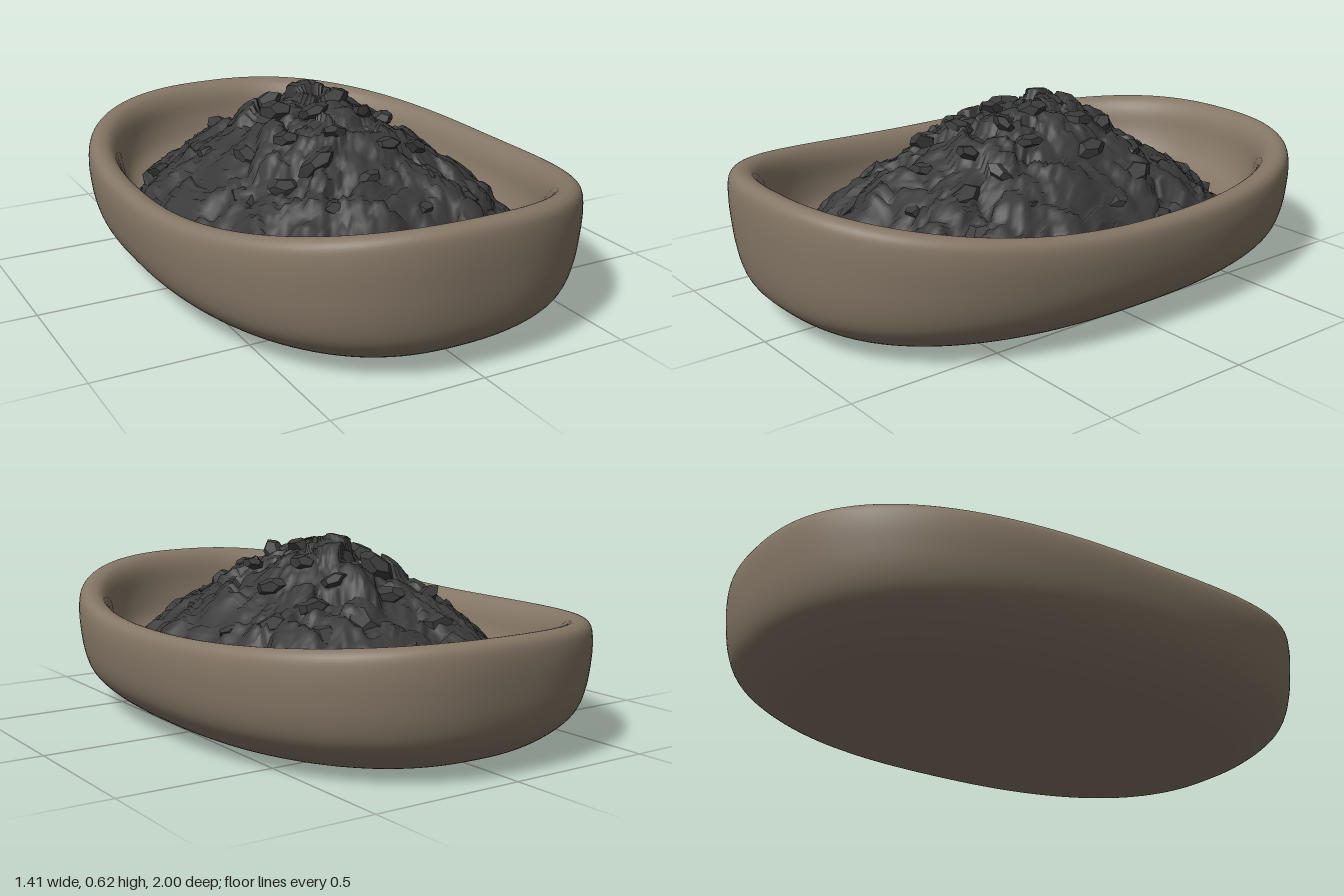
import * as THREE from 'three';

// Closed loops of points skinned into one smooth surface; point(i, j) gives [x, y, z]
function loft(rings, segs, point, material, name) {
  const pos = [], idx = [];
  for (let i = 0; i < rings; i++) {
    for (let j = 0; j < segs; j++) {
      pos.push(...point(i, j));
      if (i === rings - 1) continue;
      const a = i * segs + j, b = i * segs + (j + 1) % segs;
      idx.push(a, a + segs, b, b, a + segs, b + segs);
    }
  }
  const g = new THREE.BufferGeometry();
  g.setAttribute('position', new THREE.Float32BufferAttribute(pos, 3));
  g.setIndex(idx);
  g.computeVertexNormals();
  const mesh = new THREE.Mesh(g, material);
  mesh.name = name;
  return mesh;
}

// Rounded oval outline
function oval(angle, rx, rz, n) {
  const c = Math.cos(angle), s = Math.sin(angle);
  return [Math.sign(c) * Math.abs(c) ** (2 / n) * rx, Math.sign(s) * Math.abs(s) ** (2 / n) * rz];
}

const hash = (a, b, k) => {
  const v = Math.sin(a * 127.1 + b * 311.7 + k * 74.7) * 43758.5453;
  return v - Math.floor(v);
};

// Tilted chunk heights: each cell is one lump with its own height and slope
function chunks(x, z, size, seed) {
  const px = x / size, pz = z / size, cx = Math.floor(px), cz = Math.floor(pz);
  let best = 9, h = 0;
  for (let i = cx - 1; i <= cx + 1; i++) {
    for (let j = cz - 1; j <= cz + 1; j++) {
      const dx = px - i - hash(i, j, seed), dz = pz - j - hash(i, j, seed + 1);
      const d = dx * dx + dz * dz;
      if (d < best) {
        best = d;
        h = hash(i, j, seed + 2) - 0.5 - 0.6 * d
          + dx * (hash(i, j, seed + 3) - 0.5) + dz * (hash(i, j, seed + 4) - 0.5);
      }
    }
  }
  return h;
}

export function createModel() {
  const clay = new THREE.MeshStandardMaterial({ color: 0x857766 });
  clay.name = 'clay brown';
  const coal = new THREE.MeshStandardMaterial({ color: 0x3a3a3a });
  coal.name = 'charcoal';
  const group = new THREE.Group();
  group.name = 'bowlOfCharcoal';

  // Bowl wall: [inset from the outline, height] from underside, over the rim, to the floor
  const wall = new THREE.SplineCurve([
    [0.30, 0.004], [0.23, 0.01], [0.16, 0.027], [0.09, 0.07], [0.04, 0.12], [0.014, 0.18],
    [0.002, 0.25], [0, 0.3], [0.006, 0.338], [0.022, 0.357], [0.045, 0.361], [0.075, 0.348],
    [0.1, 0.31], [0.118, 0.25], [0.15, 0.2], [0.21, 0.175], [0.3, 0.17],
  ].map(p => new THREE.Vector2(...p))).getPoints(64);
  const segs = 128;
  const bowl = loft(wall.length + 2, segs, (i, j) => {
    const a = j / segs * Math.PI * 2;
    if (i === 0) return [0, 0, 0];
    if (i > wall.length) return [0, 0.165, 0];
    const { x: inset, y } = wall[i - 1];
    const [x, z] = oval(a, 0.705 - inset, 1 - inset, 2.4);
    // The rim sweeps up to both ends, higher at the front
    const end = Math.abs(oval(a, 1, 1, 2.4)[1]);
    const lift = (Math.sin(a) > 0 ? 0.11 : 0.05) * end ** 2;
    return [x, y + lift * THREE.MathUtils.smoothstep(y, 0.1, 0.34), z];
  }, clay, 'bowl');
  group.add(bowl);

  // Heap of charcoal: a mound broken up by lumps of three sizes
  const mound = new THREE.SplineCurve([
    [0, 0.585], [0.15, 0.575], [0.3, 0.535], [0.5, 0.45], [0.7, 0.36], [0.88, 0.275], [1, 0.2],
  ].map(p => new THREE.Vector2(...p)));
  const profile = mound.getPoints(60);
  const rings = 61, heapSegs = 180;
  const heap = loft(rings + 1, heapSegs, (i, j) => {
    const a = j / heapSegs * Math.PI * 2;
    const p = profile[rings - 1 - Math.max(i - 1, 0)];
    const ex = Math.cos(a), ez = Math.sin(a);
    const ragged = 1 + 0.07 * chunks(ex, ez, 0.22, 5) + 0.03 * chunks(ex, ez, 0.07, 9);
    const r = p.x * (1 + (ragged - 1) * p.x);
    const [x, z] = oval(a, 0.545 * r, 0.715 * r, 2.6);
    // Lowest ring tucks the edge into the floor
    if (i === 0) return [x * 0.98, 0.15, z * 0.98 + 0.01];
    const lumps = 0.045 * chunks(x, z, 0.16, 1) + 0.03 * chunks(x, z, 0.085, 20)
      + 0.012 * chunks(x, z, 0.04, 40);
    return [x, p.y + 0.012 + lumps, z + 0.01];
  }, coal, 'charcoalHeap');
  group.add(heap);

  // Loose lumps standing out of the heap
  for (let k = 0; k < 60; k++) {
    const a = k * 2.39996, r = Math.sqrt((k + 0.5) / 60) * 0.95;
    const [x, z] = oval(a, 0.53 * r, 0.7 * r, 2.6);
    const y = profile[Math.round(r * 60)].y;
    const size = 0.035 + 0.025 * hash(k, 3, 7);
    const lump = new THREE.Mesh(new THREE.DodecahedronGeometry(size, 0), coal);
    lump.name = 'charcoalLump';
    lump.scale.set(1.3, 0.6, 1);
    lump.position.set(x, y - 0.015, z + 0.01);
    lump.rotation.set(hash(k, 1, 1) - 0.5, hash(k, 2, 2) * 6, hash(k, 4, 3) - 0.5);
    group.add(lump);
  }
  return group;
}
